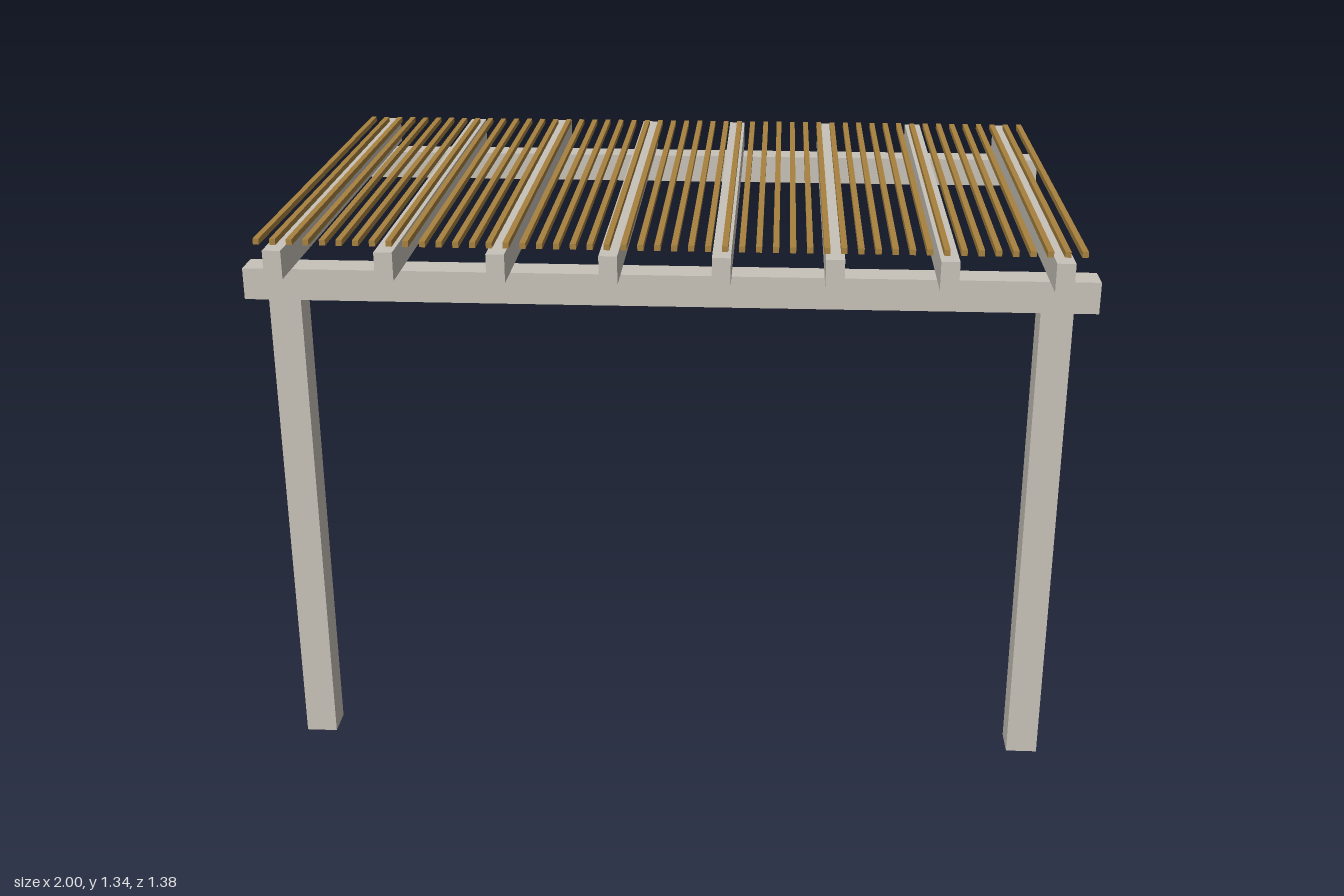
import * as THREE from 'three';

export function createModel() {
  const group = new THREE.Group();
  group.name = 'pergola';

  const frame = new THREE.MeshStandardMaterial({ color: 0xc8c3b9 });
  frame.name = 'pale grey timber';
  const wood = new THREE.MeshStandardMaterial({ color: 0xa8823f });
  wood.name = 'brown wood';

  const box = (name, size, pos, material) => {
    const mesh = new THREE.Mesh(new THREE.BoxGeometry(...size), material);
    mesh.name = name;
    mesh.position.set(...pos);
    group.add(mesh);
  };

  const frontZ = 0.572, backZ = -0.581, timber = 0.076;
  const beamBottom = 1.18, beamTop = 1.256, rafterTop = 1.324, slat = 0.014;
  const postX = 0.904;

  // Two front posts; the back beam is carried by a wall
  for (const side of [-1, 1]) {
    box(side > 0 ? 'leftPost' : 'rightPost', [timber, beamBottom, timber],
      [side * postX, beamBottom / 2, frontZ], frame);
  }

  // Long beams
  const beamY = (beamBottom + beamTop) / 2;
  box('frontBeam', [2, beamTop - beamBottom, timber], [0, beamY, frontZ], frame);
  box('backBeam', [2, beamTop - beamBottom, timber], [0, beamY, backZ], frame);

  // Rafters running front to back
  const rafters = 8;
  for (let i = 0; i < rafters; i++) {
    const x = -postX + (2 * postX * i) / (rafters - 1);
    box('rafter', [0.043, rafterTop - beamTop, 1.376], [x, (beamTop + rafterTop) / 2, 0], frame);
  }

  // Thin shade slats on top
  const slats = 50;
  for (let i = 0; i < slats; i++) {
    const x = -0.952 + (1.904 * i) / (slats - 1);
    box('slat', [slat, slat, 1.282], [x, rafterTop + slat / 2, 0], wood);
  }

  return group;
}
